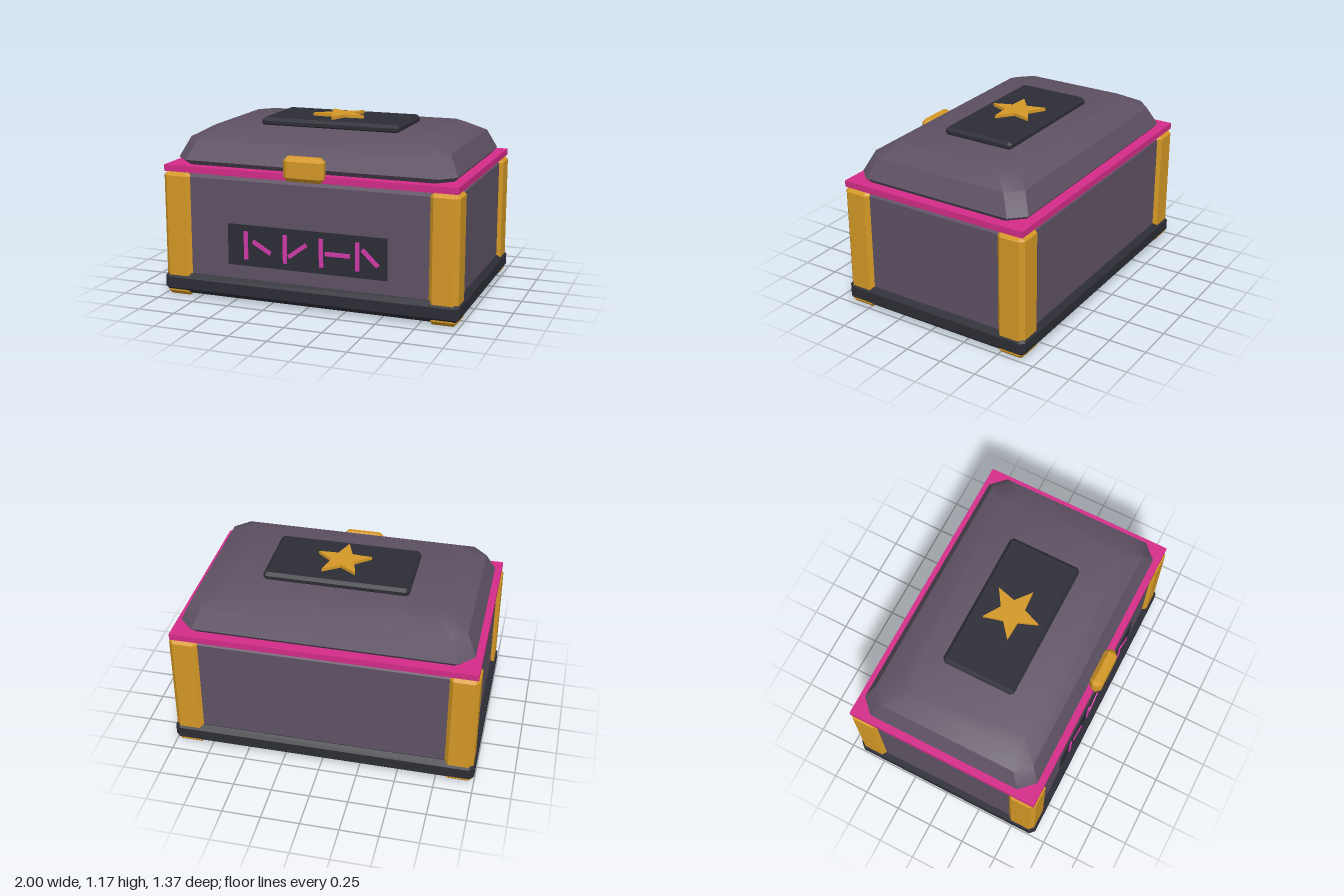
import * as THREE from 'three';
import { toCreasedNormals } from 'three/addons/utils/BufferGeometryUtils.js';
import { ConvexGeometry } from 'three/addons/geometries/ConvexGeometry.js';

const mat = (name, color) => Object.assign(new THREE.MeshStandardMaterial({ color }), { name });

// Box with flat chamfered edges, width b
function chamferBox(w, h, d, b) {
  const pts = [];
  for (const sx of [-1, 1]) for (const sy of [-1, 1]) for (const sz of [-1, 1]) {
    const x = w / 2, y = h / 2, z = d / 2;
    pts.push(new THREE.Vector3(sx * x, sy * (y - b), sz * (z - b)));
    pts.push(new THREE.Vector3(sx * (x - b), sy * y, sz * (z - b)));
    pts.push(new THREE.Vector3(sx * (x - b), sy * (y - b), sz * z));
  }
  return new ConvexGeometry(pts);
}

// Domed lid: stacked rectangles with cut corners, softly shaded on top
function lidGeometry() {
  const cut = 0.092, pts = [];
  const rings = [[0.868, 0.03], [0.902, 0], [1.03, 0.06], [1.097, 0.18]];
  for (const [y, inset] of rings) {
    const x = 0.938 - inset, z = 0.612 - inset;
    for (const sx of [-1, 1]) for (const sz of [-1, 1]) {
      pts.push(new THREE.Vector3(sx * x, y, sz * (z - cut)));
      pts.push(new THREE.Vector3(sx * (x - cut), y, sz * z));
    }
  }
  return toCreasedNormals(new ConvexGeometry(pts), 0.62);
}

// Five-pointed star lying flat, one tip towards the front
function starGeometry() {
  const shape = new THREE.Shape();
  for (let i = 0; i < 10; i++) {
    const r = i % 2 ? 0.08 : 0.186, a = i * Math.PI / 5;
    const x = r * Math.sin(a), y = -r * Math.cos(a);
    if (i) shape.lineTo(x, y); else shape.moveTo(x, y);
  }
  return new THREE.ExtrudeGeometry(shape, { depth: 0.025, bevelEnabled: false }).rotateX(-Math.PI / 2);
}

export function createModel() {
  const purple = mat('mutedPurple', 0x5f5264);
  const dark = mat('charcoal', 0x2d2d36);
  const gold = mat('gold', 0xd49826);
  const pink = mat('pinkTrim', 0xd42c88);
  const rune = mat('runePink', 0xd23aaa);

  const model = new THREE.Group();
  model.name = 'chest';
  const chest = new THREE.Group();
  chest.name = 'chestParts';
  chest.position.z = -0.007;
  model.add(chest);
  const add = (name, geo, m, x = 0, y = 0, z = 0) => {
    const mesh = new THREE.Mesh(geo, m);
    mesh.name = name;
    mesh.position.set(x, y, z);
    chest.add(mesh);
    return mesh;
  };

  // Body, plinth, trim and lid
  add('body', chamferBox(1.93, 0.8, 1.275, 0.03), purple, 0, 0.43, 0);
  add('base', chamferBox(2, 0.135, 1.348, 0.032), dark, 0, 0.0865, 0);
  add('trim', new THREE.BoxGeometry(1.96, 0.042, 1.308), pink, 0, 0.85, 0);
  add('lid', lidGeometry(), purple);

  // Corner posts, whose lower ends are the feet
  for (const sx of [-1, 1]) for (const sz of [-1, 1]) {
    add('cornerPost', chamferBox(0.19, 0.83, 0.19, 0.028), gold, sx * 0.895, 0.415, sz * 0.567);
  }

  // Lid plate with star
  add('lidPlate', chamferBox(0.945, 0.06, 0.495, 0.02), dark, 0, 1.115, 0);
  add('star', starGeometry(), gold, 0, 1.141, 0);

  // Latch
  add('latch', chamferBox(0.27, 0.158, 0.085, 0.027), gold, -0.002, 0.909, 0.654);

  // Front plate with bar marks: x, y, length, angle in degrees
  add('frontPlate', new THREE.BoxGeometry(1.075, 0.27, 0.009), dark, 0, 0.381, 0.641);
  const bars = [
    [-0.41, 0.383, 0.185, 90], [-0.3, 0.378, 0.14, -30],
    [-0.14, 0.383, 0.185, 90], [-0.056, 0.38, 0.15, 37],
    [0.105, 0.383, 0.185, 90], [0.214, 0.381, 0.165, 0],
    [0.346, 0.383, 0.185, 90], [0.428, 0.383, 0.145, -44],
  ];
  for (const [x, y, len, deg] of bars) {
    const bar = add('runeBar', new THREE.BoxGeometry(len, 0.027, 0.009), rune, x, y, 0.649);
    bar.rotation.z = THREE.MathUtils.degToRad(deg);
  }
  return model;
}
